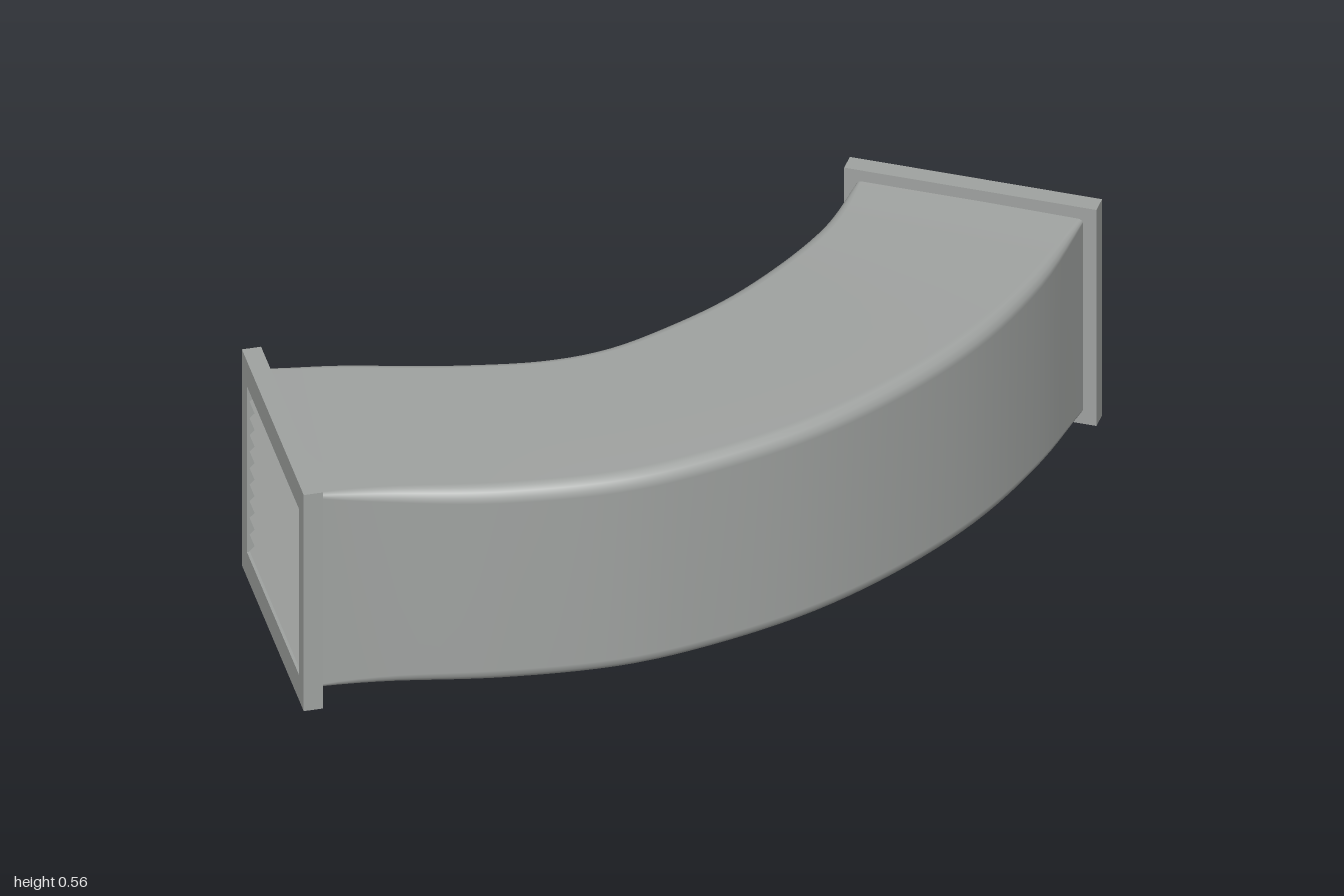
import * as THREE from 'three';

const V = (x, z) => new THREE.Vector3(x, 0, z);
const curve = pts => new THREE.CatmullRomCurve3(pts.map(p => V(...p)), false, 'centripetal');

// Rounded duct section: a runs 0..width, y runs bottom..top, counter-clockwise
function section(width, bottom, top, r) {
  const corners = [
    [width - r, bottom + r, -90], [width - r, top - r, 0],
    [r, top - r, 90], [r, bottom + r, 180],
  ];
  const out = [];
  for (const [cx, cy, start] of corners) {
    for (let k = 0; k <= 4; k++) {
      const a = THREE.MathUtils.degToRad(start + k * 22.5);
      out.push([cx + r * Math.cos(a), cy + r * Math.sin(a)]);
    }
  }
  return out;
}

// Curved duct body lofted between the inner and outer plan curves
function ductGeometry() {
  const inner = curve([[-0.1, -0.7], [-0.04, -0.53], [0, -0.24], [-0.01, -0.05], [-0.04, 0.106],
    [-0.1, 0.23], [-0.21, 0.37], [-0.37, 0.545], [-0.41, 0.6], [-0.468, 0.7]]);
  const outer = curve([[0.34, -0.945], [0.426, -0.74], [0.488, -0.5], [0.508, -0.24], [0.49, 0],
    [0.43, 0.24], [0.357, 0.42], [0.214, 0.635], [0.055, 0.82], [0, 0.89], [-0.038, 0.943]]);
  const steps = 48, pos = [], index = [];
  let n = 0;
  for (let i = 0; i <= steps; i++) {
    const t = i / steps;
    const a = inner.getPointAt(t), b = outer.getPointAt(t);
    const dir = b.clone().sub(a), width = dir.length();
    dir.normalize();
    // corners sharpen and the section lifts slightly toward the flanges
    const end = Math.pow(Math.abs(2 * t - 1), 6);
    const ring = section(width, 0.023 + 0.008 * end, 0.523 + 0.01 * end, 0.035 - 0.025 * end);
    n = ring.length;
    for (const [s, y] of ring) pos.push(a.x + dir.x * s, y, a.z + dir.z * s);
  }
  for (let i = 0; i < steps; i++) {
    for (let j = 0; j < n; j++) {
      const k = (j + 1) % n;
      const p = i * n + j, q = i * n + k;
      index.push(p, q, q + n, p, q + n, p + n);
    }
  }
  const g = new THREE.BufferGeometry();
  g.setAttribute('position', new THREE.Float32BufferAttribute(pos, 3));
  g.setIndex(index);
  g.computeVertexNormals();
  return g;
}

const rect = (w, h, Type) => new Type([
  new THREE.Vector2(-w / 2, -h / 2), new THREE.Vector2(w / 2, -h / 2),
  new THREE.Vector2(w / 2, h / 2), new THREE.Vector2(-w / 2, h / 2),
]);

// Square flange with a louvred opening; local +z faces out of the duct
function makeFlange(name, material) {
  const size = 0.56, depth = 0.042, holeW = 0.47, holeH = 0.43, slats = 10;
  const group = new THREE.Group();
  group.name = name;

  const shape = rect(size, size, THREE.Shape);
  shape.holes.push(rect(holeW, holeH, THREE.Path));
  const frame = new THREE.Mesh(
    new THREE.ExtrudeGeometry(shape, { depth, bevelEnabled: false }), material);
  frame.name = 'flangeFrame';
  frame.position.z = -depth;
  group.add(frame);

  // slats slope down toward the outside
  const pitch = holeH / slats;
  for (let i = 0; i < slats; i++) {
    const slat = new THREE.Mesh(new THREE.BoxGeometry(holeW, 0.003, pitch * 1.38), material);
    slat.name = 'louvreSlat';
    slat.rotation.x = Math.PI / 4;
    slat.position.set(0, -holeH / 2 + pitch * (i + 0.5), -0.028);
    group.add(slat);
  }
  return group;
}

export function createModel() {
  const model = new THREE.Group();
  model.name = 'curvedDuct';
  const metal = new THREE.MeshStandardMaterial({ color: 0xa0a3a1, side: THREE.DoubleSide });
  metal.name = 'galvanised grey';

  const duct = new THREE.Mesh(ductGeometry(), metal);
  duct.name = 'ductBody';
  model.add(duct);

  // end flanges: name, x, z, facing angle in degrees
  for (const [name, x, z, angle] of [
    ['frontFlange', -0.272, 0.854, -30],
    ['backFlange', 0.1, -0.859, -150],
  ]) {
    const flange = makeFlange(name, metal);
    flange.position.set(x, 0.281, z);
    flange.rotation.y = THREE.MathUtils.degToRad(angle);
    model.add(flange);
  }
  return model;
}
